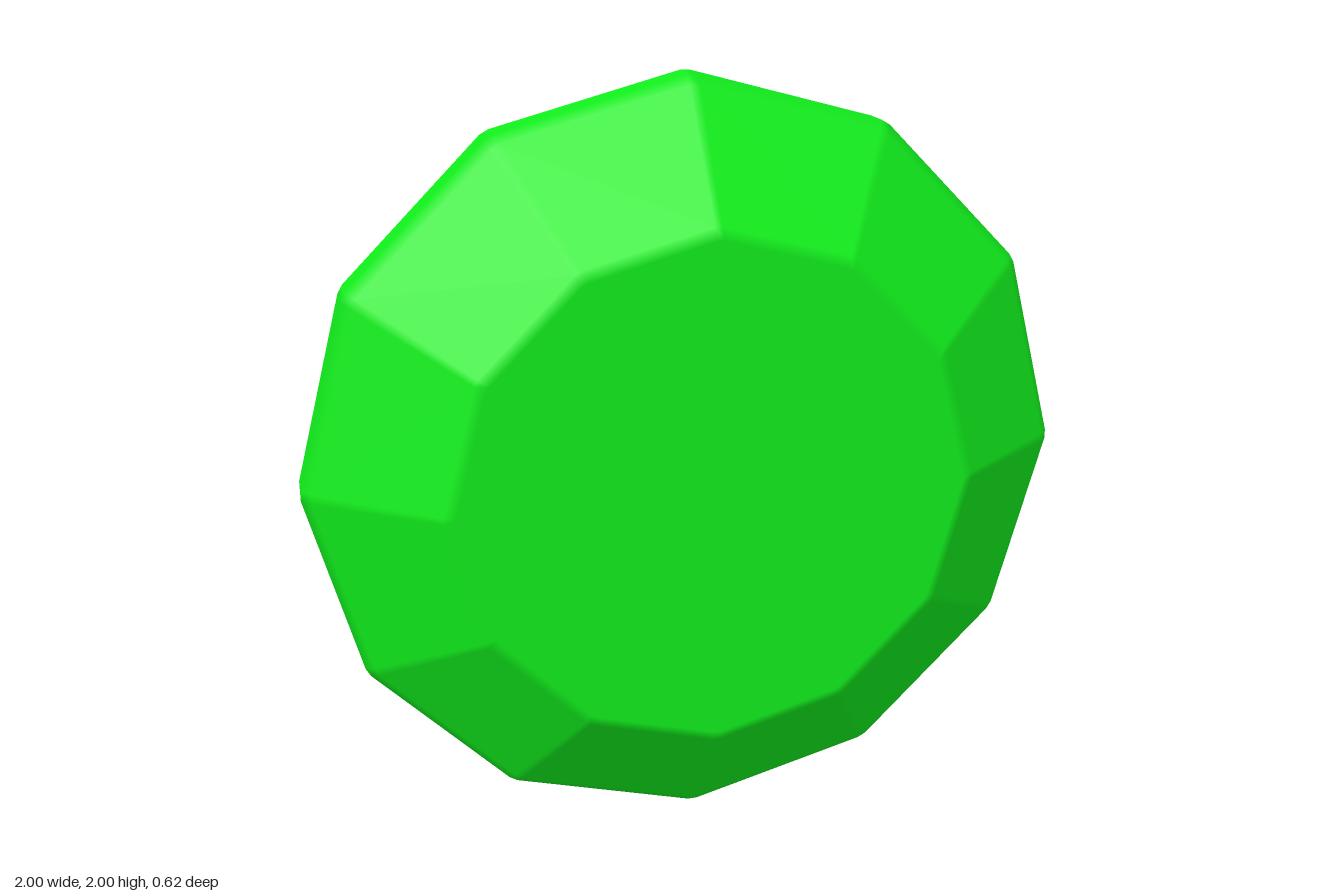
import * as THREE from 'three';

const SIDES = 12;
const BEVEL = 0.025; // share of each side taken by the softened corner

// Profile from the front table to the girdle: radius, z, radial normal, z normal
const half = [
  [0, 0.31, 0, 1],
  [0.645, 0.31, 0, 1],
  [0.675, 0.295, 0.6, 0.8],
  [0.975, 0.068, 0.6, 0.8],
  [1, 0.04, 1, 0],
];
const profile = [...half, ...half.map(([r, z, nr, nz]) => [r, -z, nr, -nz]).reverse()];

// Two columns per side: flat facets joined by narrow, smoothly shaded bevels
function columns() {
  const cols = [];
  const step = (Math.PI * 2) / SIDES;
  const scale = 1 / (1 - BEVEL * (1 - Math.cos(step)));
  for (let k = 0; k < SIDES; k++) {
    const a = k * step, b = a + step, mid = a + step / 2;
    for (const t of [BEVEL, 1 - BEVEL]) {
      cols.push({
        x: scale * THREE.MathUtils.lerp(Math.cos(a), Math.cos(b), t),
        y: scale * THREE.MathUtils.lerp(Math.sin(a), Math.sin(b), t),
        nx: Math.cos(mid),
        ny: Math.sin(mid),
      });
    }
  }
  return cols;
}

function gemGeometry() {
  const cols = columns(), n = cols.length;
  const position = [], normal = [], index = [];
  for (const [r, z, nr, nz] of profile) {
    for (const c of cols) {
      position.push(c.x * r, c.y * r, z);
      normal.push(c.nx * nr, c.ny * nr, nz);
    }
  }
  const last = profile.length - 2;
  for (let i = 0; i <= last; i++) {
    for (let j = 0; j < n; j++) {
      const a = i * n + j, b = i * n + ((j + 1) % n);
      const c = a + n, d = b + n;
      if (i < last) index.push(a, c, d); // the table fans have one triangle per side
      if (i > 0) index.push(a, d, b);
    }
  }
  const geometry = new THREE.BufferGeometry();
  geometry.setAttribute('position', new THREE.Float32BufferAttribute(position, 3));
  geometry.setAttribute('normal', new THREE.Float32BufferAttribute(normal, 3));
  geometry.setIndex(index);
  return geometry;
}

export function createModel() {
  const group = new THREE.Group();
  group.name = 'gemstone';

  // Twelve-sided gem standing upright on one corner
  const gem = new THREE.Mesh(gemGeometry(), new THREE.MeshStandardMaterial({ color: 0x11ee1c }));
  gem.name = 'cutGem';
  gem.position.y = 1;
  group.add(gem);
  return group;
}
